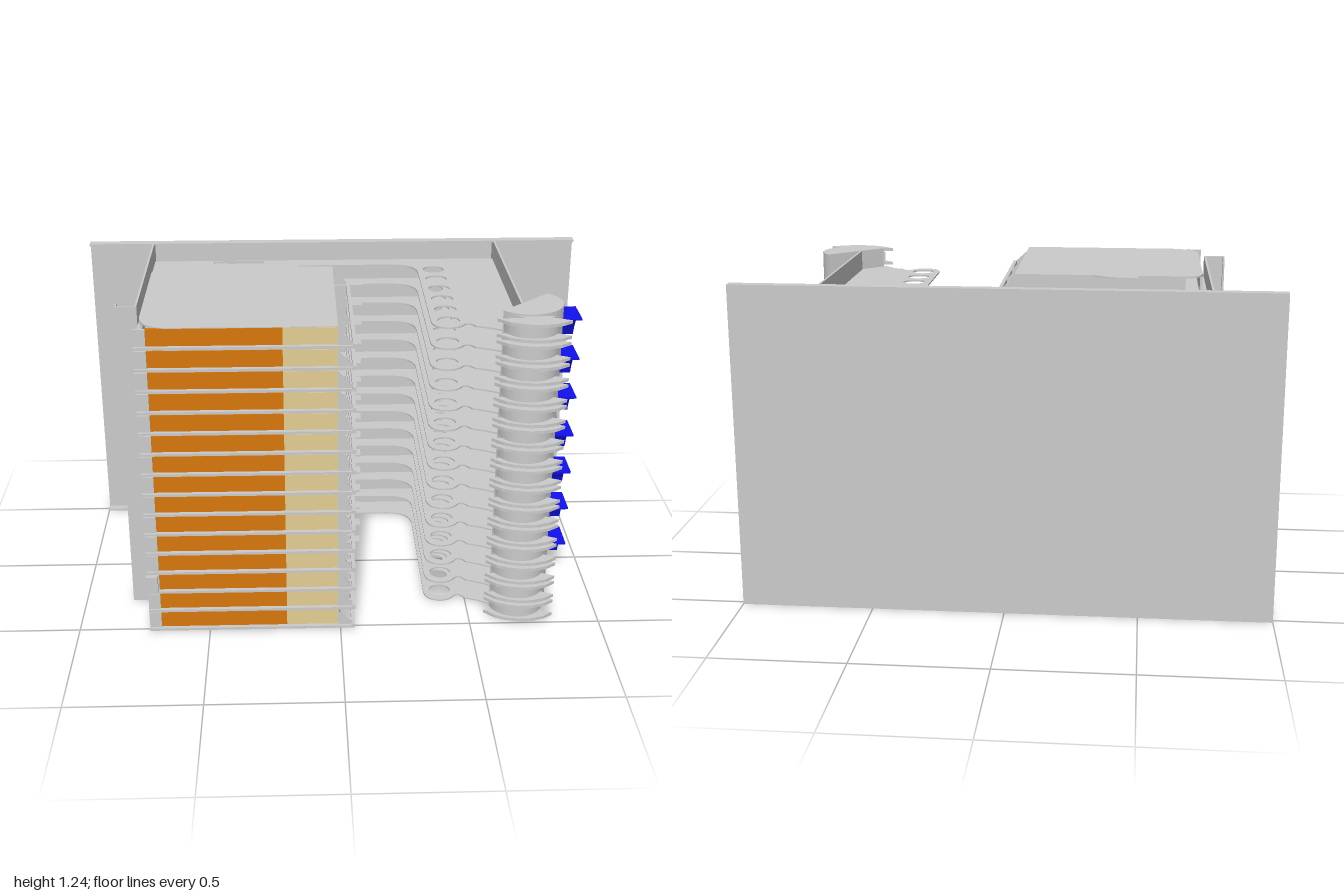
import * as THREE from 'three';

const material = (color) => new THREE.MeshStandardMaterial({ color, side: THREE.DoubleSide });
const GREY = material(0xcccccc), ORANGE = material(0xd9780c), CREAM = material(0xe3cf94), BLUE = material(0x1010f0);
const H = 1.235, LAYERS = 15, PITCH = 0.0822;

function add(parent, name, geometry, mat = GREY) {
  const mesh = new THREE.Mesh(geometry, mat);
  mesh.name = name;
  parent.add(mesh);
  return mesh;
}

// Box given by its limits on each axis
function box(x0, x1, y0, y1, z0, z1) {
  return new THREE.BoxGeometry(x1 - x0, y1 - y0, z1 - z0)
    .translate((x0 + x1) / 2, (y0 + y1) / 2, (z0 + z1) / 2);
}

// Plan shape in (x, z), raised from y0 to y1
function slab(shape, y0, y1) {
  return new THREE.ExtrudeGeometry(shape, { depth: y1 - y0, bevelEnabled: false, curveSegments: 10 })
    .rotateX(Math.PI / 2).translate(0, y1, 0);
}

const polygon = (points) => new THREE.Shape(points.map(([x, z]) => new THREE.Vector2(x, z)));
const roundHole = (x, z, r) => new THREE.Path().absarc(x, z, r, 0, Math.PI * 2, true);
const slot = (x0, x1, z0, z1) => new THREE.Path([[x0, z0], [x0, z1], [x1, z1], [x1, z0]]
  .map(([x, z]) => new THREE.Vector2(x, z)));

// Perforated shelf: cassette area on one side, narrow cable arm on the other
function shelfShape() {
  const s = new THREE.Shape();
  s.moveTo(-0.735, -0.48);
  s.lineTo(0.67, -0.48);
  s.lineTo(0.67, 0.29);
  s.lineTo(0.6, 0.37);
  s.quadraticCurveTo(0.56, 0.34, 0.5, 0.32);
  s.quadraticCurveTo(0.48, 0.28, 0.46, 0.3);
  s.quadraticCurveTo(0.44, 0.335, 0.4, 0.335);
  s.quadraticCurveTo(0.34, 0.33, 0.34, 0.26);
  s.lineTo(0.34, -0.3);
  s.quadraticCurveTo(0.34, -0.41, 0.23, -0.41);
  s.lineTo(-0.145, -0.41);
  s.lineTo(-0.145, -0.17);
  s.lineTo(-0.01, -0.17);
  s.lineTo(-0.01, 0.5);
  s.lineTo(-0.73, 0.5);
  s.lineTo(-0.735, 0.28);
  for (let i = 0; i < 6; i++) {
    const z = -0.34 + i * 0.12;
    for (const x of [-0.54, -0.24, 0.405]) s.holes.push(roundHole(x, z, 0.042));
  }
  s.holes.push(slot(-0.685, -0.63, -0.37, -0.16), slot(-0.44, -0.34, -0.37, -0.31), slot(-0.49, -0.285, -0.475, -0.44));
  return s;
}

// Cassette lid with rounded outer corners and a rear tab
function lidShape() {
  const s = new THREE.Shape();
  s.moveTo(-0.01, -0.175);
  s.lineTo(-0.01, 0.5);
  s.lineTo(-0.62, 0.5);
  s.quadraticCurveTo(-0.715, 0.48, -0.715, 0.38);
  s.lineTo(-0.715, -0.11);
  s.quadraticCurveTo(-0.71, -0.175, -0.65, -0.175);
  s.lineTo(-0.475, -0.175);
  s.lineTo(-0.475, -0.23);
  s.lineTo(-0.39, -0.215);
  s.quadraticCurveTo(-0.35, -0.205, -0.31, -0.175);
  return s;
}

// Half-disc segment from angle a to b
function segmentShape(x, z, r, a, b) {
  return new THREE.Shape().absarc(x, z, r, a, b, false);
}

// Curved bracket profile in (z, y), extruded along x
function bracketGeometry() {
  const s = new THREE.Shape();
  s.moveTo(-0.15, 0.12);
  s.lineTo(-0.01, 0.12);
  s.lineTo(0.01, 0.1);
  s.lineTo(0.01, 0);
  s.lineTo(0.003, 0);
  s.quadraticCurveTo(-0.03, 0.112, -0.15, 0.113);
  return new THREE.ExtrudeGeometry(s, { depth: 0.255, bevelEnabled: false, curveSegments: 12 })
    .rotateY(Math.PI / 2).translate(0.67, 0, 0);
}

function createLayerParts() {
  // Sloping gusset in (x, y), between the cassette and its side rail
  const gusset = new THREE.ExtrudeGeometry(
    polygon([[-0.01, 0.004], [0.05, 0.004], [0.05, 0.012], [-0.01, 0.066]]),
    { depth: 0.008, bevelEnabled: false });
  const fin = polygon([[0.56, 0.43], [0.665, 0.43], [0.625, 0.4], [0.72, 0.41], [0.775, 0.41], [0.755, 0.425],
    [0.825, 0.458], [0.79, 0.483], [0.74, 0.5], [0.69, 0.502], [0.64, 0.49], [0.6, 0.47]]);
  const parts = [
    ['shelf', slab(shelfShape(), 0, 0.006)],
    ['cassetteLid', slab(lidShape(), 0.07, 0.077)],
    ['cassetteOuterWall', box(-0.715, -0.705, 0.006, 0.07, -0.11, 0.38)],
    ['cassetteBackWall', box(-0.65, -0.01, 0.006, 0.07, -0.175, -0.165)],
    ['cassetteLabel', box(-0.685, -0.205, 0.008, 0.074, 0.49, 0.502), ORANGE],
    ['cassetteEndLabel', box(-0.205, -0.008, 0.008, 0.074, 0.49, 0.502), CREAM],
    ['frontRail', box(-0.73, 0.055, 0, 0.01, 0.5, 0.518)],
    ['frontPost', box(-0.73, -0.685, 0.01, 0.074, 0.498, 0.508)],
    ['sideRail', box(0.042, 0.056, 0, 0.016, -0.19, 0.518)],
    ['sideRailTab', box(-0.01, 0.105, 0.002, 0.01, -0.195, -0.14)],
    ['guideFinLower', slab(fin, 0.004, 0.016)],
    ['guideFinUpper', slab(fin, 0.062, 0.074)],
    ['guideHub', slab(segmentShape(0.69, 0.38, 0.105, 0.25, Math.PI - 0.25), 0.016, 0.062)],
  ];
  for (const z of [-0.16, 0.065, 0.28, 0.5]) parts.push(['railGusset', gusset.clone().translate(0, 0, z)]);
  for (let i = 0; i < 13; i++) {
    const z = -0.15 + i * 0.05;
    parts.push(['cassetteDivider', box(-0.05, -0.01, 0.006, 0.07, z, z + 0.007)]);
  }
  return parts;
}

export function createModel() {
  const model = new THREE.Group();
  model.name = 'distributionRack';

  // Back panel with folded edges
  add(model, 'backPanel', box(-1, 1, 0, H, -0.52, -0.512));
  for (const y of [0, H - 0.008]) add(model, 'backPanelFlange', box(-1, 1, y, y + 0.008, -0.52, -0.48));

  // Side walls and the mounting lip
  add(model, 'rightWall', box(-0.742, -0.734, 0, H, -0.512, 0.285));
  add(model, 'leftWall', box(0.664, 0.672, 0, H, -0.512, 0.29));
  add(model, 'mountingLip', box(-0.812, -0.734, 0, H, 0.279, 0.287));
  add(model, 'mountingLipEdge', box(-0.815, -0.808, 0, H, 0.25, 0.287));

  // Stacked shelves, each with its cassette and cable guide
  const parts = createLayerParts();
  for (let i = 0; i < LAYERS; i++) {
    const layer = new THREE.Group();
    layer.name = 'shelfLayer';
    layer.position.y = i * PITCH + 0.002;
    for (const [name, geometry, mat] of parts) add(layer, name, geometry, mat);
    model.add(layer);
  }

  // Catch on one cassette
  add(model, 'cassetteCatch', box(-0.735, -0.69, 0.17, 0.24, 0.5, 0.524));

  // Rounded cable column
  add(model, 'cableColumn', slab(segmentShape(0.69, 0.285, 0.132, -0.82, 2.44), 0, H));

  // Cable brackets on the outer wall
  const bracket = bracketGeometry();
  for (let i = 0; i < 7; i++) add(model, 'cableBracket', bracket, BLUE).position.y = 0.033 + i * 0.161;

  return model;
}
